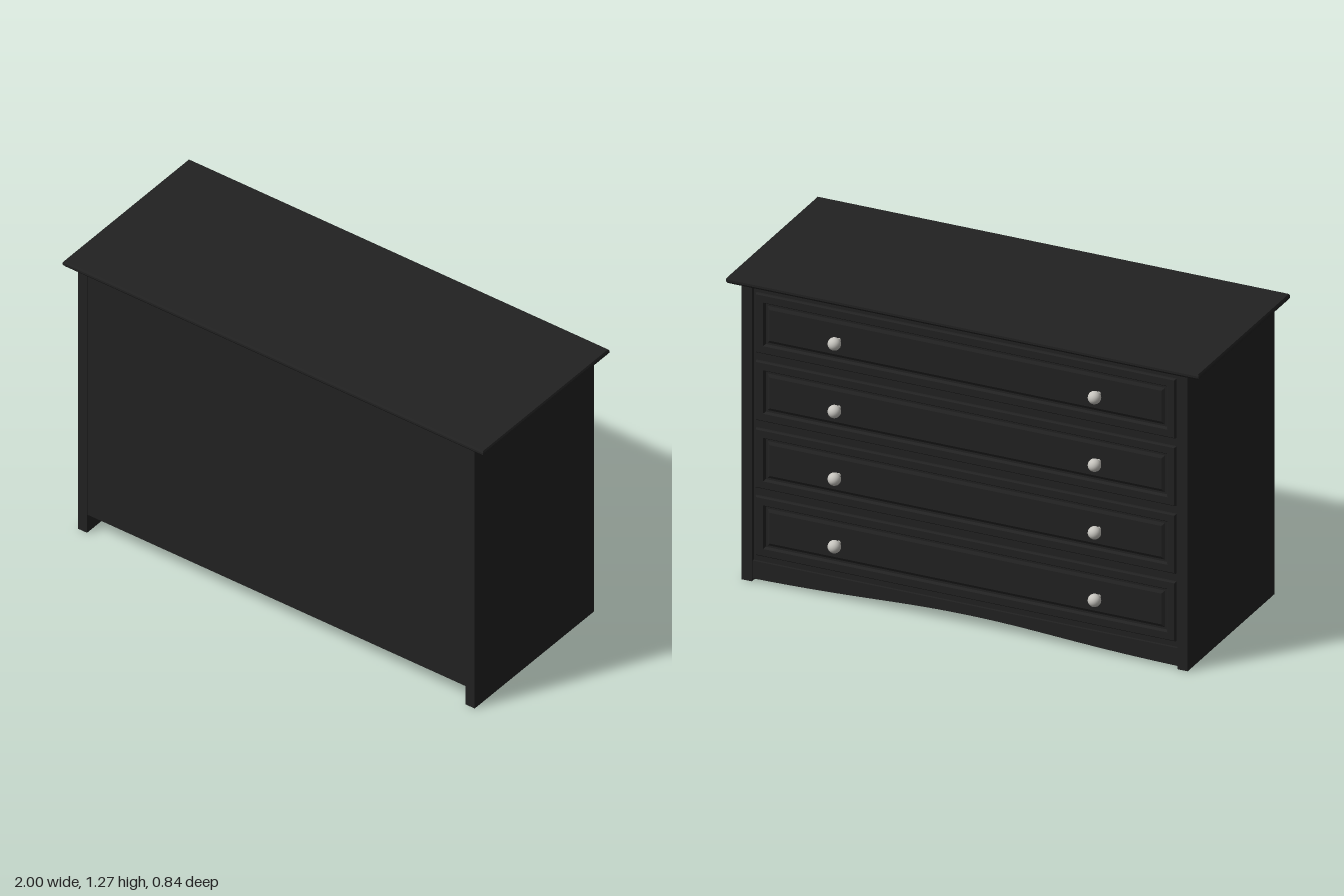
import * as THREE from 'three';

// Flat-faced solid through rectangular rings [halfWidth, halfHeight, depth], stacked along +z
function rectLoft(rings) {
  const pos = [], idx = [], n = rings.length;
  for (const [w, h, d] of rings) pos.push(-w, -h, d, w, -h, d, w, h, d, -w, h, d);
  for (let r = 0; r < n - 1; r++) {
    for (let i = 0; i < 4; i++) {
      const a = r * 4 + i, b = r * 4 + (i + 1) % 4;
      idx.push(a, b, b + 4, a, b + 4, a + 4);
    }
  }
  const t = (n - 1) * 4;
  idx.push(0, 2, 1, 0, 3, 2, t, t + 1, t + 2, t, t + 2, t + 3);
  const g = new THREE.BufferGeometry();
  g.setAttribute('position', new THREE.Float32BufferAttribute(pos, 3));
  g.setIndex(idx);
  const flat = g.toNonIndexed();
  flat.computeVertexNormals();
  return flat;
}

export function createModel() {
  const group = new THREE.Group();
  const wood = new THREE.MeshStandardMaterial({ name: 'black wood', color: 0x222222 });
  const metal = new THREE.MeshStandardMaterial({ name: 'brushed metal', color: 0xc6c4be });

  const add = (name, geometry, material, x = 0, y = 0, z = 0, parent = group) => {
    const mesh = new THREE.Mesh(geometry, material);
    mesh.name = name;
    mesh.position.set(x, y, z);
    parent.add(mesh);
    return mesh;
  };
  // Box given by its minimum and maximum corners
  const box = (name, x0, x1, y0, y1, z0, z1) => add(name,
    new THREE.BoxGeometry(x1 - x0, y1 - y0, z1 - z0), wood,
    (x0 + x1) / 2, (y0 + y1) / 2, (z0 + z1) / 2);

  // Carcass: the drawers face -z
  const inner = 0.9, top = 1.24;
  box('leftSide', inner, 0.943, 0, top, -0.36, 0.4);
  box('rightSide', -0.943, -inner, 0, top, -0.36, 0.4);
  box('backPanel', -inner, inner, 0.085, top, 0.375, 0.397);
  box('bottomPanel', -inner, inner, 0.085, 0.1, -0.33, 0.375);
  box('drawerSurround', -inner, inner, 0.085, top, -0.343, -0.32);

  // Table top with a moulded edge
  const slab = rectLoft([
    [0.976, 0.378, 1.237], [0.994, 0.396, 1.246], [1, 0.402, 1.254],
    [1, 0.402, 1.263], [0.996, 0.398, 1.27],
  ]);
  slab.rotateX(-Math.PI / 2);
  add('tableTop', slab, wood, 0, 0, 0.02);

  // Arched apron below the drawers
  const arch = new THREE.Shape();
  arch.moveTo(-inner, 0.01);
  arch.bezierCurveTo(-0.45, 0.015, -0.3, 0.042, 0, 0.042);
  arch.bezierCurveTo(0.3, 0.042, 0.45, 0.015, inner, 0.01);
  arch.lineTo(inner, 0.085);
  arch.lineTo(-inner, 0.085);
  add('apron', new THREE.ExtrudeGeometry(arch, { depth: 0.025, bevelEnabled: false, curveSegments: 16 }),
    wood, 0, 0, -0.353);

  // Drawer front: rim, sunk groove and raised centre panel
  const front = rectLoft([
    [0.888, 0.125, 0], [0.888, 0.125, 0.024], [0.884, 0.121, 0.028],
    [0.855, 0.092, 0.028], [0.848, 0.085, 0.018], [0.84, 0.077, 0.018],
    [0.828, 0.065, 0.025],
  ]);
  front.rotateY(Math.PI);
  const ball = new THREE.SphereGeometry(0.026, 24, 16);
  const stem = new THREE.CylinderGeometry(0.008, 0.008, 0.05, 16).rotateX(Math.PI / 2);

  for (let i = 0; i < 4; i++) {
    const drawer = new THREE.Group();
    drawer.name = 'drawer' + (i + 1);
    drawer.position.y = 0.236 + i * 0.285;
    add('drawerFront', front, wood, 0, 0, -0.328, drawer);
    for (const x of [-0.565, 0.535]) {
      add('knobStem', stem, metal, x, 0, -0.366, drawer);
      add('knob', ball, metal, x, 0, -0.394, drawer);
    }
    group.add(drawer);
  }
  return group;
}
